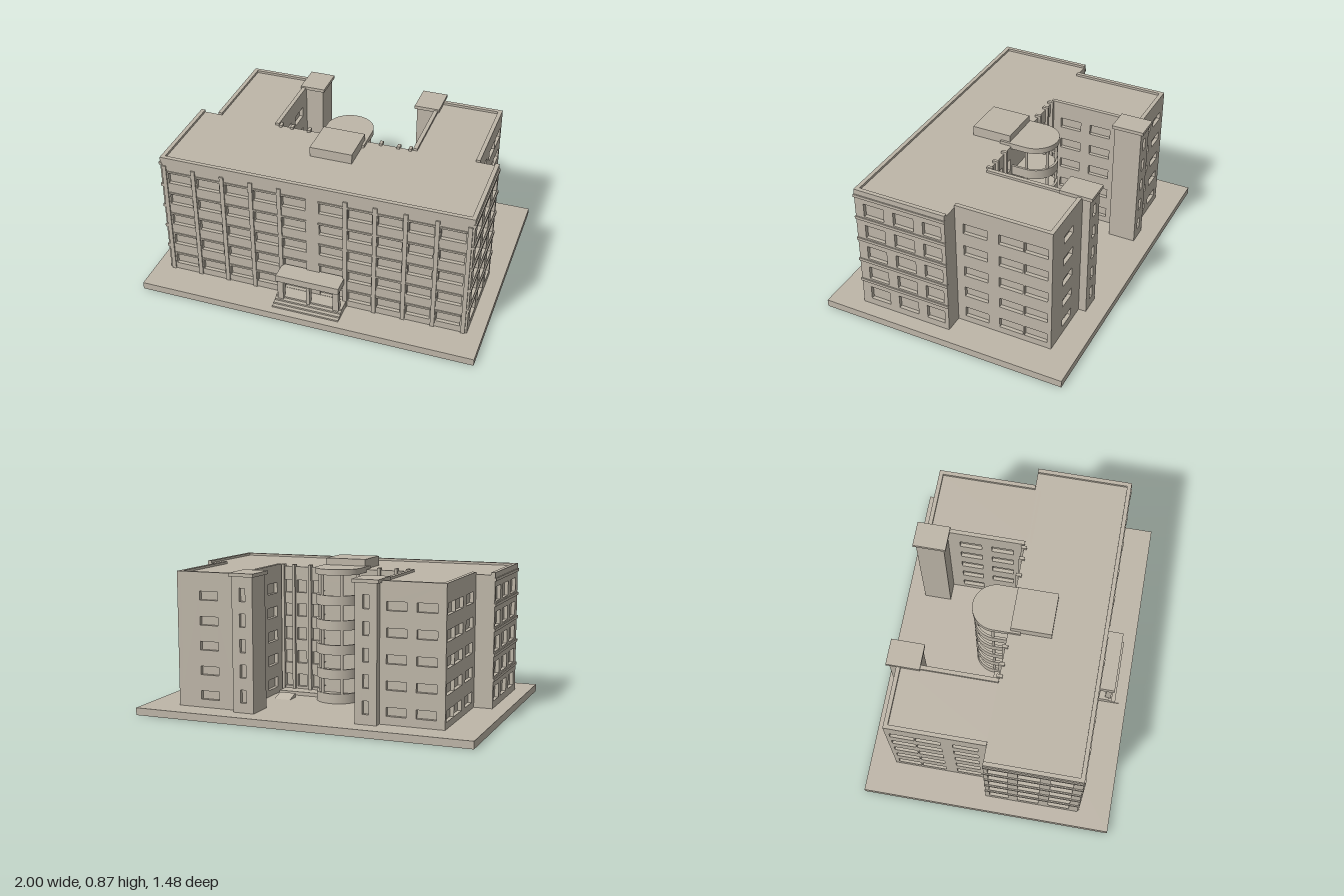
import * as THREE from 'three';

const BASE = 0.043, ROOF = 0.812, PARAPET = 0.826, PITCH = 0.144, T = 0.024;

export function createModel() {
  const model = new THREE.Group();
  model.name = 'officeBuilding';
  const stone = new THREE.MeshStandardMaterial({ color: 0xbeb6a8 });
  stone.name = 'warm stone';

  const add = (name, geometry) => {
    const mesh = new THREE.Mesh(geometry, stone);
    mesh.name = name;
    model.add(mesh);
    return mesh;
  };
  // Box given by its limits on each axis
  const box = (name, x0, x1, y0, y1, z0, z1) => {
    const mesh = add(name, new THREE.BoxGeometry(Math.abs(x1 - x0), y1 - y0, Math.abs(z1 - z0)));
    mesh.position.set((x0 + x1) / 2, (y0 + y1) / 2, (z0 + z1) / 2);
    return mesh;
  };
  const extrude = (name, shape, depth) =>
    add(name, new THREE.ExtrudeGeometry(shape, { depth, bevelEnabled: false, curveSegments: 32 }));
  const rect = (path, x0, x1, y0, y1) =>
    path.moveTo(x0, y0).lineTo(x1, y0).lineTo(x1, y1).lineTo(x0, y1).closePath();

  // Window openings on all five floors: [u0, u1, y0, y1]
  const openings = (centres, width, y0, height) => {
    const list = [];
    for (let floor = 0; floor < 5; floor++)
      for (const c of centres)
        list.push([c - width / 2, c + width / 2, y0 + floor * PITCH, y0 + floor * PITCH + height]);
    return list;
  };
  // Pierced wall panel turned by an angle, its outer face at the given distance
  const wall = (name, angle, dist, u0, u1, top, holes) => {
    const shape = new THREE.Shape();
    rect(shape, u0, u1, BASE, top);
    for (const h of holes) {
      const hole = new THREE.Path();
      rect(hole, ...h);
      shape.holes.push(hole);
    }
    const mesh = extrude(name, shape, T);
    mesh.geometry.translate(0, 0, dist - T);
    mesh.rotation.y = angle;
  };

  box('groundSlab', -1, 1, 0, BASE, -0.74, 0.74);

  // Main block
  const IN = T - 0.002, FRONT = 0.545, BACK = -0.012;
  box('mainCore', -0.91 + IN, 0.91 - IN, BASE, ROOF, BACK + IN, FRONT - IN);
  const columns = [0.108, 0.277, 0.448, 0.622, 0.797];
  const frontCentres = [...columns.map(c => -c), ...columns];
  wall('frontWall', 0, FRONT, -0.91, 0.91, PARAPET, openings(frontCentres, 0.138, 0.084, 0.066));
  const backCentres = [-0.362, -0.277, -0.18, 0.18, 0.277, 0.362];
  wall('backWall', Math.PI, -BACK, -0.91, 0.91, ROOF, openings(backCentres, 0.06, 0.08, 0.075));

  // Ledges above the front windows and fins between them
  for (let floor = 0; floor < 5; floor++) {
    const y = 0.155 + floor * PITCH;
    for (const c of frontCentres)
      box('windowLedge', c - 0.073, c + 0.073, y, y + 0.011, FRONT - 0.01, FRONT + 0.006);
  }
  for (const s of [-1, 1])
    for (const x of [0.193, 0.363, 0.535, 0.71, 0.887])
      box('frontFin', s * x - 0.012, s * x + 0.012, BASE, 0.775, FRONT - 0.01, FRONT + 0.008);

  for (const s of [-1, 1]) {
    // Sides of the main block with floor bands
    const sideCentres = [0.428, 0.243, 0.061].map(z => -z * s);
    wall('sideWall', s * Math.PI / 2, 0.91, ...(s > 0 ? [-FRONT, -BACK] : [BACK, FRONT]), PARAPET,
      openings(sideCentres, 0.125, 0.084, 0.084));
    for (let floor = 0; floor < 5; floor++) {
      const y = 0.2 + floor * 0.1445;
      box('floorBand', s * 0.9, s * 0.917, y, y + 0.017, -0.014, 0.549);
    }

    // Rear wing
    const REAR = -0.585;
    box('wingCore', s * (0.41 + IN), s * (0.80 - IN), BASE, ROOF, REAR + IN, 0.03);
    const outer = [-0.132, -0.344, -0.495].map(z => -z * s);
    wall('wingOuterWall', s * Math.PI / 2, 0.80, ...(s > 0 ? [0.01, -REAR] : [REAR, -0.01]), PARAPET,
      openings(outer, 0.144, 0.081, 0.063));
    const inner = [-0.14, -0.33].map(z => z * s);
    wall('wingInnerWall', -s * Math.PI / 2, -0.41, ...(s > 0 ? [REAR, -0.01] : [0.01, -REAR]), PARAPET,
      openings(inner, 0.13, 0.081, 0.063));
    const rear = s > 0 ? [-0.6] : [0.525, 0.695];
    wall('wingRearWall', Math.PI, -REAR, ...(s > 0 ? [-0.80, -0.41] : [0.41, 0.80]), PARAPET,
      openings(rear, 0.115, 0.09, 0.05));

    // Stair tower with slit windows and a flat cap
    box('towerCore', s * 0.303, s * 0.43, BASE, 0.815, -0.63 + IN, -0.465);
    wall('towerRearWall', Math.PI, 0.63, ...(s > 0 ? [-0.43, -0.303] : [0.303, 0.43]), 0.815,
      openings([-s * 0.366], 0.036, 0.1, 0.075));
    box('towerCap', s * 0.29, s * 0.442, 0.815, 0.835, -0.645, -0.452);

    // Courtyard terrace, slender columns and ramp
    box('terrace', s * 0.13, s * 0.39, BASE, 0.065, -0.1, BACK);
    for (const x of [0.22, 0.325, 0.395])
      box('courtColumn', s * x - 0.009, s * x + 0.009, BASE, 0.826, -0.028, 0.006);
    const slope = new THREE.Shape();
    slope.moveTo(0.155, BASE).lineTo(0.235, BASE).lineTo(0.155, 0.068).closePath();
    const ramp = extrude('courtRamp', slope, 0.1);
    ramp.rotation.y = Math.PI / 2; // profile runs towards the back
    ramp.position.x = s * 0.31 - 0.05;
  }

  // Rounded rear balconies, one per floor, under a rounded roof
  const bow = (path, r, zIn) =>
    path.moveTo(-r, zIn).lineTo(-r, 0.1).absarc(0, 0.1, r, Math.PI, 0, true).lineTo(r, zIn).closePath();
  const flat = (name, shape, y, height) => {
    const mesh = extrude(name, shape, height);
    mesh.rotation.x = -Math.PI / 2;
    mesh.position.y = y;
  };
  const slab = new THREE.Shape();
  bow(slab, 0.132, -0.005);
  const rail = new THREE.Shape();
  bow(rail, 0.132, 0.0);
  const railHole = new THREE.Path();
  bow(railHole, 0.118, 0.012);
  rail.holes.push(railHole);
  for (let floor = 0; floor < 5; floor++) {
    const y = BASE + floor * PITCH;
    flat('balconyFloor', slab, y, 0.018);
    flat('balconyRail', rail, y + 0.018, 0.04);
  }
  const cover = new THREE.Shape();
  bow(cover, 0.138, -0.06);
  flat('balconyRoof', cover, 0.796, 0.034);
  for (const a of [0, 60, 120, 180]) {
    const t = a * Math.PI / 180;
    const post = add('balconyPost', new THREE.CylinderGeometry(0.009, 0.009, 0.76, 12));
    post.position.set(0.12 * Math.cos(t), BASE + 0.38, -0.1 - 0.12 * Math.sin(t));
  }

  // Roof house
  box('roofHouse', -0.125, 0.125, ROOF - 0.01, 0.87, 0.002, 0.237);

  // Entrance porch
  for (let i = 0; i < 4; i++)
    box('entranceStep', -0.2, 0.2, BASE, 0.052 + i * 0.01, FRONT - 0.01, 0.692 - i * 0.022);
  for (const [x, w] of [[-0.167, 0.034], [0, 0.02], [0.167, 0.034]])
    box('porchColumn', x - w / 2, x + w / 2, 0.07, 0.21, 0.604, 0.638);
  box('porchRoof', -0.188, 0.188, 0.205, 0.246, FRONT - 0.01, 0.652);

  return model;
}
